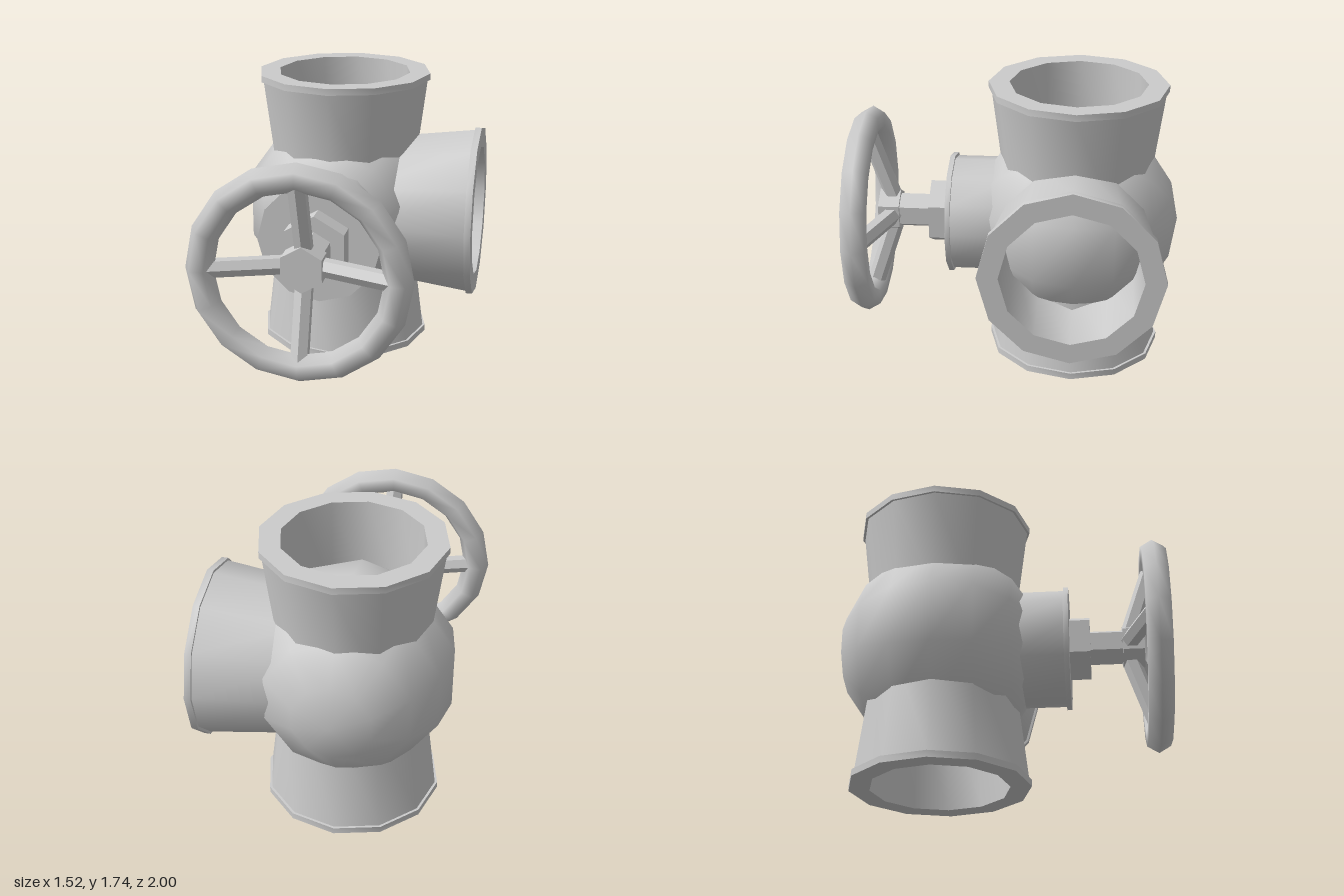
import * as THREE from 'three';
import { toCreasedNormals } from 'three/addons/utils/BufferGeometryUtils.js';

export function createModel() {
  const model = new THREE.Group();
  const material = new THREE.MeshStandardMaterial({ color: 0xcccccc });

  // Everything is built around the centre of the valve body
  const valve = new THREE.Group();
  valve.name = 'valve';
  valve.position.set(-0.11, 0.87, -0.37);
  model.add(valve);

  const add = (name, geometry, parent = valve) => {
    const mesh = new THREE.Mesh(geometry, material);
    mesh.name = name;
    parent.add(mesh);
    return mesh;
  };
  const lathe = (points) => toCreasedNormals(
    new THREE.LatheGeometry(points.map(([r, y]) => new THREE.Vector2(r, y)), 12), 0.8);

  // Round body, poles facing front and back
  const body = new THREE.SphereGeometry(0.63, 10, 8);
  body.rotateX(Math.PI / 2).rotateZ(Math.PI / 2);
  add('body', body);

  // Three flared pipes with a rim and a straight bore
  const pipe = lathe([
    [0.445, 0.2], [0.525, 0.83], [0.54, 0.83], [0.54, 0.87], [0.415, 0.87], [0.415, 0.28],
  ]);
  add('topPipe', pipe);
  add('bottomPipe', pipe).rotation.x = Math.PI;
  add('sidePipe', pipe).rotation.z = -Math.PI / 2;

  // Bonnet and its flange on the front
  const bonnet = lathe([
    [0.355, 0.4], [0.355, 0.752], [0.375, 0.752], [0.375, 0.782], [0, 0.782],
  ]);
  add('bonnet', bonnet).rotation.x = Math.PI / 2;

  // Hexagonal nut, stem and wheel hub along the front axis
  const hex = (name, radius, z0, z1) => {
    const geometry = new THREE.CylinderGeometry(radius, radius, z1 - z0, 6);
    geometry.rotateX(Math.PI / 2).translate(0, 0, (z0 + z1) / 2);
    add(name, toCreasedNormals(geometry, 0.5));
  };
  hex('nut', 0.207, 0.77, 0.905);
  hex('stem', 0.112, 0.89, 1.15);
  hex('hub', 0.137, 1.1, 1.23);

  // Hand wheel rim
  const wheel = new THREE.Group();
  wheel.name = 'handWheel';
  wheel.position.z = 1.297;
  valve.add(wheel);
  add('rim', new THREE.TorusGeometry(0.565, 0.083, 6, 16), wheel);

  // Four sloping hexagonal spokes
  const inner = new THREE.Vector3(0, 0.05, -0.165);
  const outer = new THREE.Vector3(0, 0.54, 0);
  const direction = outer.clone().sub(inner);
  const spoke = toCreasedNormals(
    new THREE.CylinderGeometry(0.056, 0.056, direction.length(), 6), 0.5);
  spoke.rotateX(Math.atan2(direction.z, direction.y));
  spoke.translate(0, (inner.y + outer.y) / 2, (inner.z + outer.z) / 2);
  for (let i = 0; i < 4; i++) {
    add('spoke', spoke, wheel).rotation.z = i * Math.PI / 2;
  }

  return model;
}
